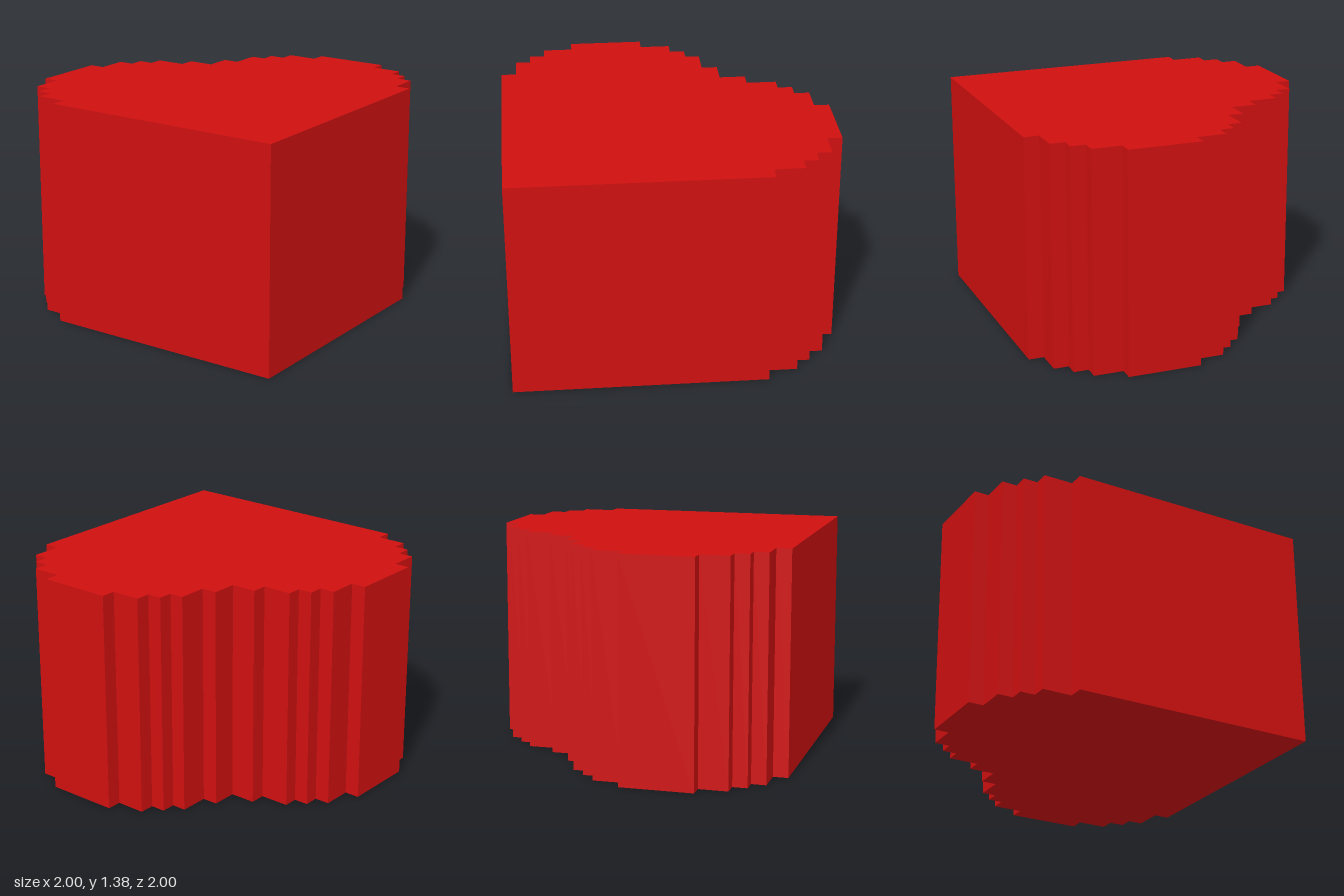
import * as THREE from 'three';

const HEIGHT = 1.375;

// Stepped outline of one lobe as [x, z], from the square corner to the notch
const LOBE = [
  [1, 1], [1, -0.54], [0.906, -0.54], [0.906, -0.724], [0.814, -0.724],
  [0.814, -0.814], [0.722, -0.814], [0.722, -0.908], [0.54, -0.908], [0.54, -1],
  [0.083, -1], [0.083, -0.908], [-0.102, -0.908], [-0.102, -0.814],
  [-0.194, -0.814], [-0.194, -0.724], [-0.283, -0.724], [-0.283, -0.54],
  [-0.38, -0.54], [-0.38, -0.38],
];

export function createModel() {
  const group = new THREE.Group();
  group.name = 'steppedHeart';

  // The second lobe mirrors the first across the diagonal x = z
  const mirrored = LOBE.slice(1, -1).reverse().map(([x, z]) => [z, x]);
  const outline = [...LOBE, ...mirrored].map(([x, z]) => new THREE.Vector2(x, -z));

  // Heart block, extruded straight up from the ground
  const geometry = new THREE.ExtrudeGeometry(new THREE.Shape(outline), {
    depth: HEIGHT,
    bevelEnabled: false,
  });
  geometry.rotateX(-Math.PI / 2);

  const block = new THREE.Mesh(geometry, new THREE.MeshStandardMaterial({ color: 0xd01010 }));
  block.name = 'heartBlock';
  group.add(block);
  return group;
}
